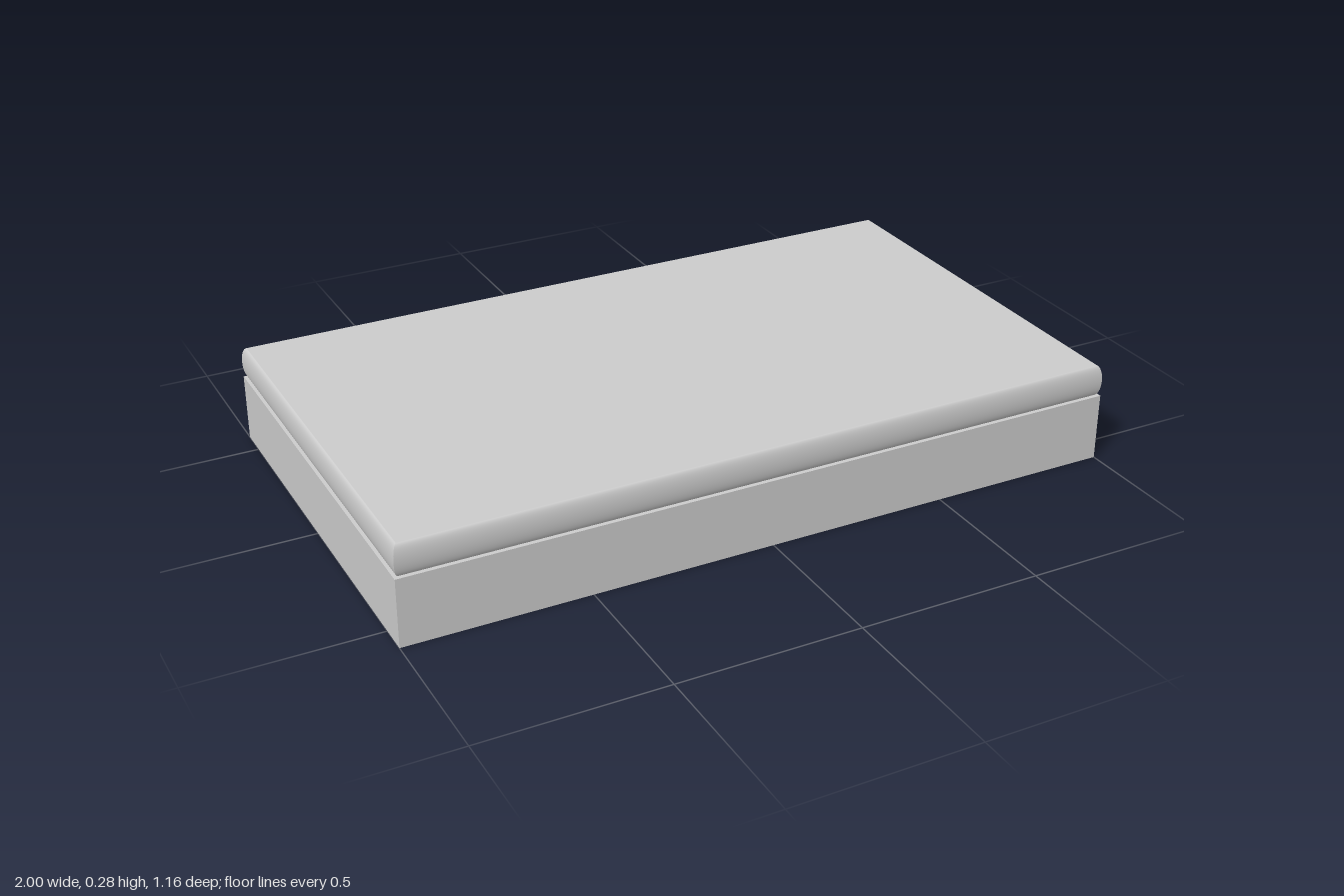
import * as THREE from 'three';

const HALF_X = 1, HALF_Z = 0.58;
const BASE_TOP = 0.187, TOP = 0.275;
const INSET = 0.013; // how far the slab edge rolls in at top and bottom

const material = new THREE.MeshStandardMaterial({ color: 0xcccccc });

function addMesh(parent, name, geometry) {
  const mesh = new THREE.Mesh(geometry, material);
  mesh.name = name;
  parent.add(mesh);
  return mesh;
}

// One bulging side of the slab, mitred at both ends, facing +z before turning
function slabSide(halfLength, halfDepth, turn) {
  const geometry = new THREE.PlaneGeometry(2, 2, 1, 16);
  const p = geometry.attributes.position;
  const mid = (TOP + BASE_TOP) / 2, halfHeight = (TOP - BASE_TOP) / 2;
  for (let i = 0; i < p.count; i++) {
    const angle = p.getY(i) * Math.PI / 2;
    const inset = INSET * (1 - Math.cos(angle));
    p.setXYZ(i, p.getX(i) * (halfLength - inset), mid + halfHeight * Math.sin(angle), halfDepth - inset);
  }
  geometry.computeVertexNormals();
  return geometry.rotateY(turn);
}

export function createModel() {
  const model = new THREE.Group();
  model.name = 'slabOnBase';

  // Plain rectangular base
  addMesh(model, 'base', new THREE.BoxGeometry(2 * HALF_X, BASE_TOP, 2 * HALF_Z))
    .position.y = BASE_TOP / 2;

  // Top slab with rounded edges
  const slab = new THREE.Group();
  slab.name = 'topSlab';
  model.add(slab);
  ['frontEdge', 'leftEdge', 'backEdge', 'rightEdge'].forEach((name, i) => {
    const [length, depth] = i % 2 ? [HALF_Z, HALF_X] : [HALF_X, HALF_Z];
    addMesh(slab, name, slabSide(length, depth, i * Math.PI / 2));
  });

  // Flat faces closing the slab
  const face = () => new THREE.PlaneGeometry(2 * (HALF_X - INSET), 2 * (HALF_Z - INSET));
  addMesh(slab, 'topFace', face().rotateX(-Math.PI / 2)).position.y = TOP;
  addMesh(slab, 'bottomFace', face().rotateX(Math.PI / 2)).position.y = BASE_TOP;

  return model;
}
